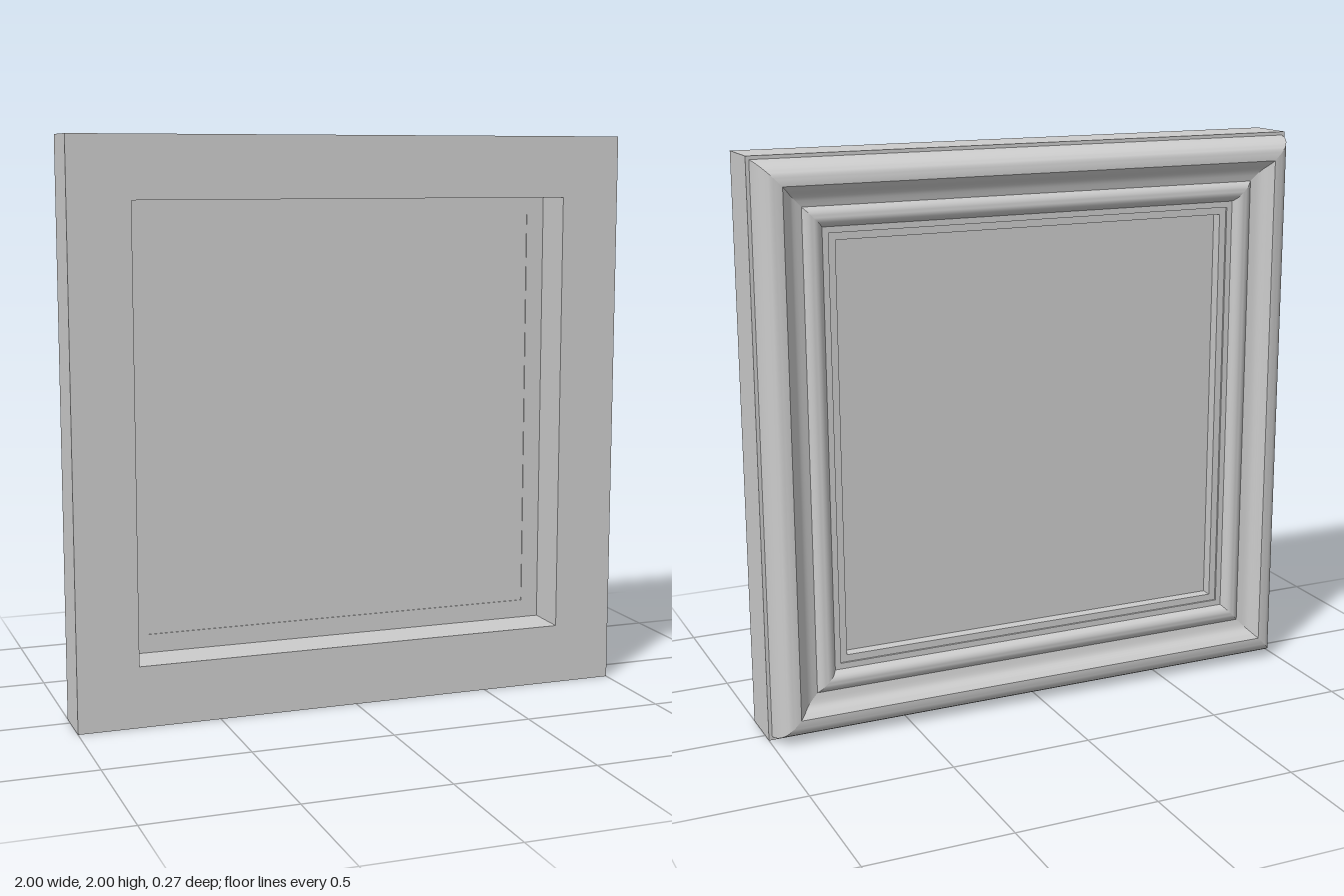
import * as THREE from 'three';
import { toCreasedNormals } from 'three/addons/utils/BufferGeometryUtils.js';

// Rail cross-section as [inset from the outer edge, z]; the moulding faces -z
function railProfile() {
  const curve = (pts, n) =>
    new THREE.SplineCurve(pts.map(([d, z]) => new THREE.Vector2(d, z)))
      .getPoints(n).map((p) => [p.x, p.y]);
  return [
    [0, 0.135], [0, -0.045], // outer side of the backing
    ...curve([[0.012, -0.045], [0.018, -0.075], [0.03, -0.105], [0.048, -0.127], [0.07, -0.135]], 12), // rounded edge
    ...curve([[0.092, -0.135], [0.108, -0.122], [0.13, -0.1], [0.165, -0.09]], 10), // cove
    ...curve([[0.167, -0.092], [0.18, -0.103], [0.2, -0.108], [0.22, -0.102], [0.234, -0.082]], 10), // bead
    [0.255, -0.082], [0.255, -0.075], [0.28, -0.075], // stepped lip
    [0.28, -0.025], [0.215, -0.025], [0.215, 0.135], // rebate
  ];
}

// One mitred rail: the profile stretched between its two 45 degree ends
function railGeometry() {
  const profile = railProfile();
  const pos = [];
  profile.forEach(([d0, z0], i) => {
    const [d1, z1] = profile[(i + 1) % profile.length];
    const a = [d0 - 1, 1 - d0, z0], b = [1 - d0, 1 - d0, z0];
    const c = [1 - d1, 1 - d1, z1], d = [d1 - 1, 1 - d1, z1];
    pos.push(...a, ...b, ...c, ...a, ...c, ...d);
  });
  const geo = new THREE.BufferGeometry();
  geo.setAttribute('position', new THREE.Float32BufferAttribute(pos, 3));
  return toCreasedNormals(geo, 0.6);
}

export function createModel() {
  const grey = new THREE.MeshStandardMaterial({ color: 0xcccccc });
  grey.name = 'grey';

  const model = new THREE.Group();
  model.name = 'pictureFrame';

  // Four rails turned around the centre
  const rail = railGeometry();
  ['topRail', 'leftRail', 'bottomRail', 'rightRail'].forEach((name, i) => {
    const mesh = new THREE.Mesh(rail, grey);
    mesh.name = name;
    mesh.position.y = 1;
    mesh.rotation.z = -i * Math.PI / 2;
    model.add(mesh);
  });

  // Picture panel set behind the lip
  const panel = new THREE.Mesh(new THREE.BoxGeometry(1.45, 1.45, 0.006), grey);
  panel.name = 'picturePanel';
  panel.position.set(0, 1, -0.031);
  model.add(panel);

  return model;
}
